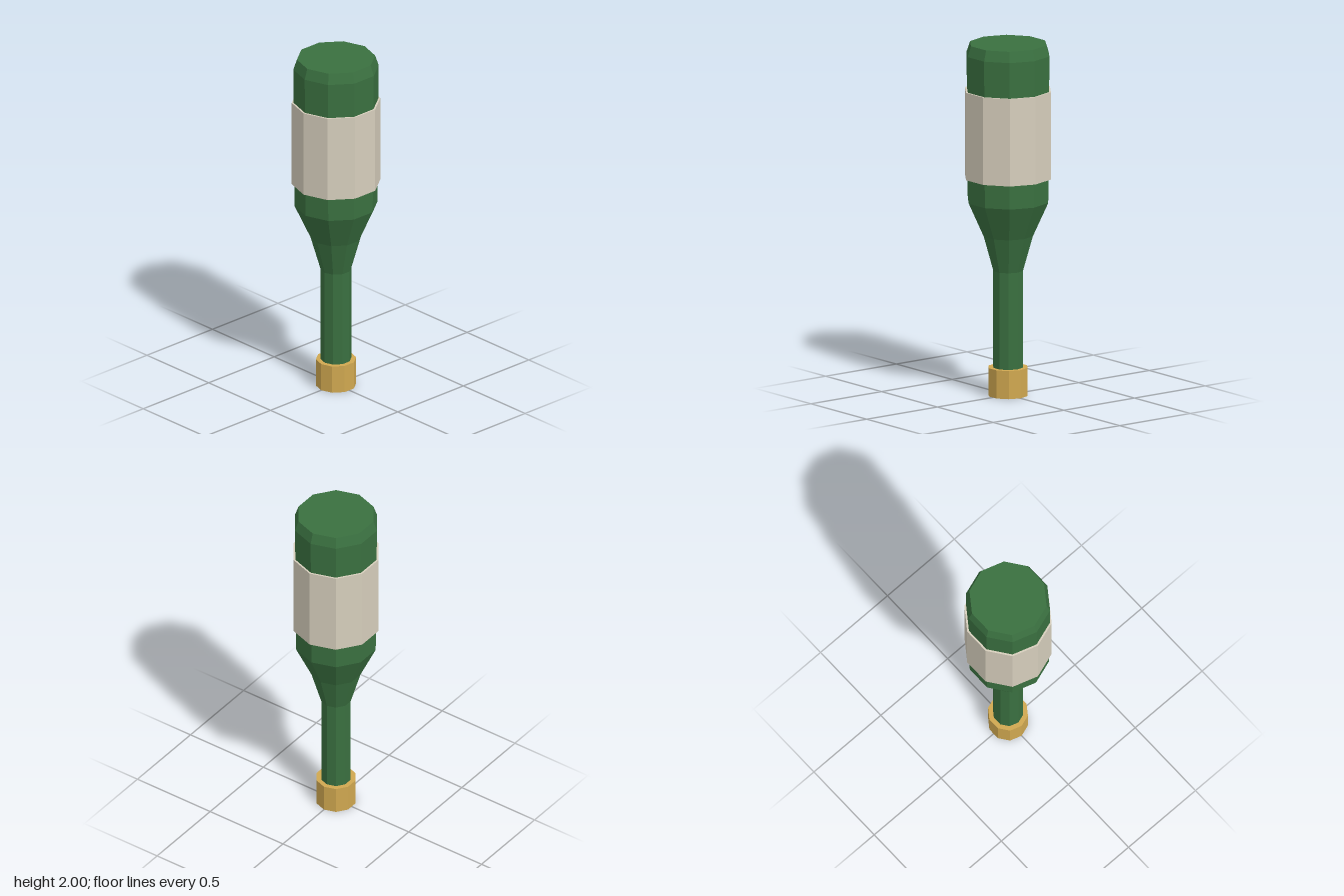
import * as THREE from 'three';

const SIDES = 10;

function material(name, color) {
  const m = new THREE.MeshStandardMaterial({ color });
  m.name = name;
  return m;
}

// Faceted solid of revolution from [radius, height] pairs, bottom to top
function turned(name, profile, mat) {
  const points = profile.map(([r, y]) => new THREE.Vector2(r, y));
  const geometry = new THREE.LatheGeometry(points, SIDES).toNonIndexed();
  geometry.computeVertexNormals();
  const mesh = new THREE.Mesh(geometry, mat);
  mesh.name = name;
  return mesh;
}

export function createModel() {
  const glass = material('green glass', 0x3a7040);
  const paper = material('cream paper', 0xd6cebc);
  const gold = material('gold foil', 0xd0a850);

  const bottle = new THREE.Group();
  bottle.name = 'upturnedBottle';

  // Neck, shoulder, body and bevelled base, standing on its neck
  bottle.add(turned('glassBody', [
    [0, 0.02], [0.086, 0.02], [0.086, 0.71], [0.143, 0.91],
    [0.232, 1.105], [0.239, 1.94], [0.219, 2], [0, 2],
  ], glass));

  // Label sleeve around the body
  bottle.add(turned('label', [
    [0.225, 1.24], [0.248, 1.24], [0.248, 1.737], [0.225, 1.737],
  ], paper));

  // Foil cap over the mouth
  bottle.add(turned('cap', [
    [0, 0], [0.113, 0], [0.113, 0.16], [0, 0.16],
  ], gold));

  return bottle;
}
